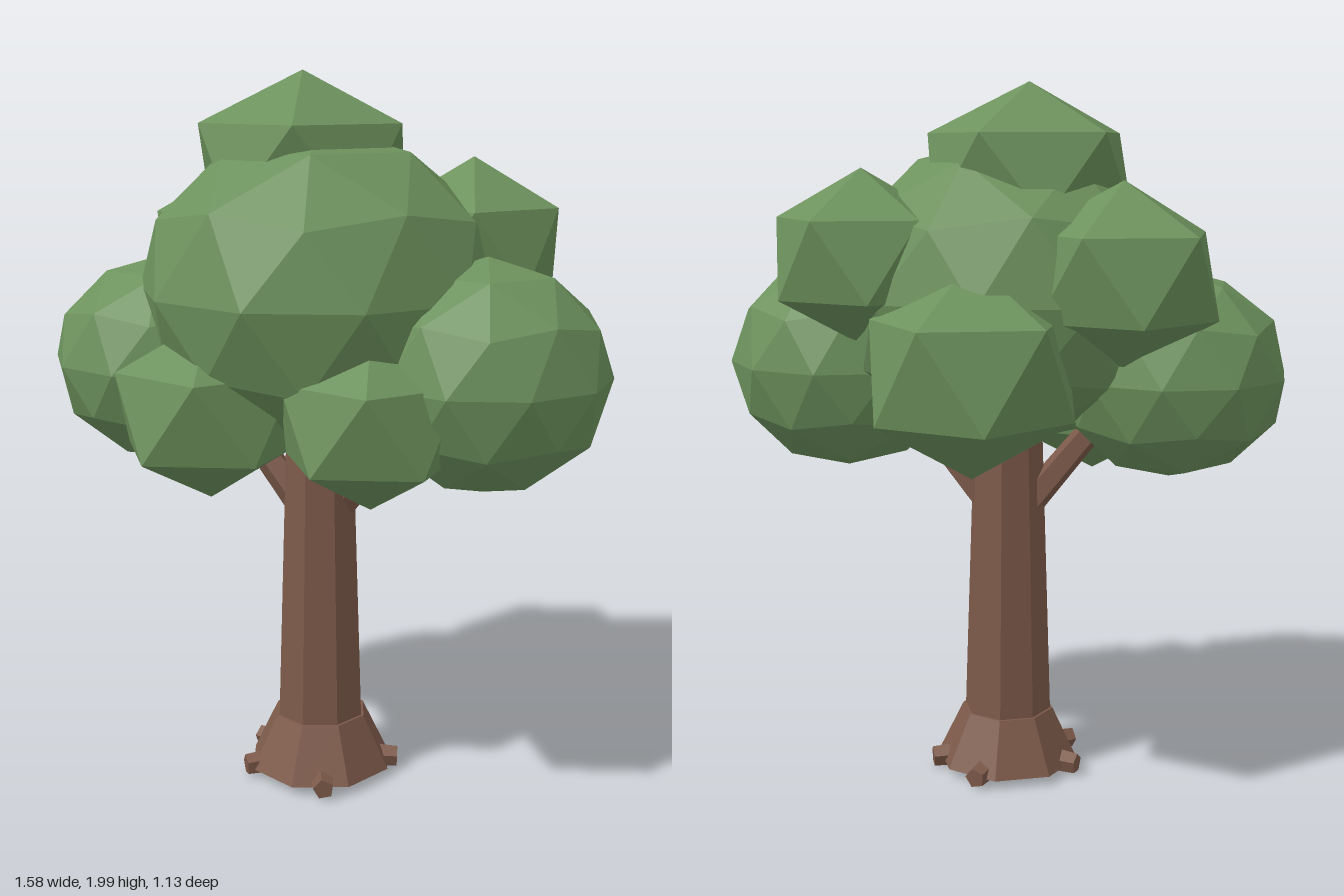
import * as THREE from 'three';

const bark = new THREE.MeshStandardMaterial({ color: 0x7d5a4a, flatShading: true });
const leaf = new THREE.MeshStandardMaterial({ color: 0x6d925d, flatShading: true });

const CX = -0.015, CZ = 0.073; // trunk axis

function add(parent, name, geometry, material) {
  const mesh = new THREE.Mesh(geometry, material);
  mesh.name = name;
  parent.add(mesh);
  return mesh;
}

// Faceted leaf clump: icosahedron with a corner straight up and a ring corner towards +x
function clump(parent, name, [x, y, z], r, ry, detail) {
  const g = new THREE.IcosahedronGeometry(1, detail);
  g.rotateX(-Math.atan((1 + Math.sqrt(5)) / 2));
  g.rotateY(Math.PI / 2);
  g.scale(r, ry, r);
  add(parent, name, g, leaf).position.set(x, y, z);
}

// Straight tapered limb between two points
function limb(parent, name, from, to, r0, r1, sides) {
  const a = new THREE.Vector3(...from), b = new THREE.Vector3(...to);
  const dir = b.clone().sub(a);
  const mesh = add(parent, name, new THREE.CylinderGeometry(r1, r0, dir.length(), sides), bark);
  mesh.position.copy(a).add(b).multiplyScalar(0.5);
  mesh.quaternion.setFromUnitVectors(new THREE.Vector3(0, 1, 0), dir.normalize());
}

export function createModel() {
  const tree = new THREE.Group();
  tree.name = 'tree';

  // Trunk with a flared foot
  const wood = new THREE.Group();
  wood.name = 'wood';
  tree.add(wood);
  limb(wood, 'trunk', [CX, 0.05, CZ], [CX, 1.12, CZ], 0.132, 0.097, 8);
  limb(wood, 'trunkFlare', [CX, 0.03, CZ], [CX, 0.185, CZ], 0.21, 0.135, 8);

  // Short roots poking out below the flare
  [-20, 65, 140, 195, 285].forEach((deg) => {
    const a = THREE.MathUtils.degToRad(deg);
    const c = Math.cos(a), s = Math.sin(a);
    limb(wood, 'root', [CX + 0.03 * c, 0.045, CZ + 0.03 * s],
      [CX + 0.225 * c, 0.038, CZ + 0.225 * s], 0.042, 0.03, 5);
  });

  // A branch reaching up into each side clump
  for (const side of [-1, 1]) {
    limb(wood, 'branch', [CX + side * 0.07, 0.82, CZ], [CX + side * 0.32, 1.13, CZ], 0.045, 0.035, 5);
  }

  // Crown: round main masses and smaller angular clumps
  const crown = new THREE.Group();
  crown.name = 'crown';
  tree.add(crown);
  clump(crown, 'crownCore', [-0.018, 1.42, 0.067], 0.495, 0.435, 1);
  clump(crown, 'rightClump', [-0.478, 1.2, 0.08], 0.33, 0.295, 1);
  clump(crown, 'leftClump', [0.468, 1.215, 0.095], 0.335, 0.315, 1);
  clump(crown, 'topClump', [-0.08, 1.75, 0.032], 0.32, 0.25, 0);
  clump(crown, 'frontRightClump', [-0.23, 1.115, 0.322], 0.28, 0.245, 0);
  clump(crown, 'frontLeftClump', [0.23, 1.12, 0.315], 0.268, 0.237, 0);
  clump(crown, 'backRightClump', [-0.365, 1.49, -0.18], 0.283, 0.25, 0);
  clump(crown, 'backLeftClump', [0.345, 1.53, -0.165], 0.268, 0.24, 0);
  clump(crown, 'backClump', [0.015, 1.25, -0.31], 0.307, 0.29, 0);

  return tree;
}
